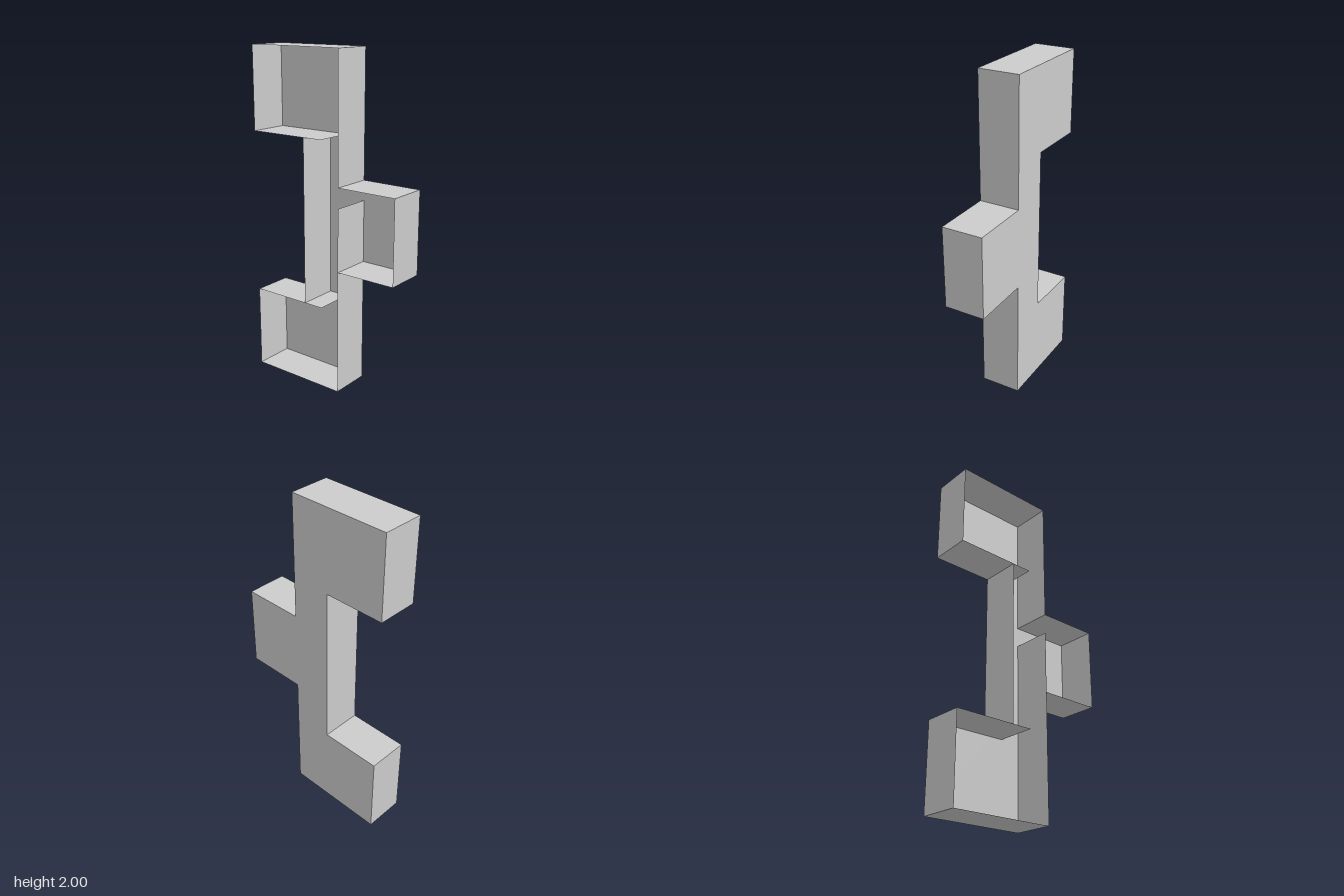
import * as THREE from 'three';

const HALF = 0.123; // half depth of the open-fronted tray
const mat = new THREE.MeshStandardMaterial({ color: 0xcccccc, side: THREE.DoubleSide, flatShading: true });

export function createModel() {
  const group = new THREE.Group();
  group.name = 'openTray';

  // Flat back panel: spine with two pockets on one side and one on the other
  const outline = [
    [-0.5, 0], [0.122, 0], [0.122, 0.755], [0.497, 0.755], [0.497, 1.25], [0.122, 1.25],
    [0.122, 2], [-0.5, 2], [-0.5, 1.503], [-0.125, 1.503], [-0.125, 0.507], [-0.5, 0.507],
  ].map(([x, y]) => new THREE.Vector2(x, y));
  const back = new THREE.Mesh(new THREE.ShapeGeometry(new THREE.Shape(outline)), mat);
  back.name = 'backPanel';
  back.position.z = -HALF;
  group.add(back);

  // Thin upright or level wall from one outline point to another, spanning the depth
  function wall(name, x0, y0, x1, y1) {
    const length = Math.hypot(x1 - x0, y1 - y0);
    const geo = new THREE.PlaneGeometry(length, HALF * 2).rotateX(-Math.PI / 2);
    const mesh = new THREE.Mesh(geo, mat);
    mesh.name = name;
    mesh.position.set((x0 + x1) / 2, (y0 + y1) / 2, 0);
    mesh.rotation.z = Math.atan2(y1 - y0, x1 - x0);
    group.add(mesh);
  }

  // Lower pocket; its ceiling runs on into the spine
  wall('lowerPocketFloor', 0.122, 0, -0.5, 0);
  wall('lowerPocketSide', -0.5, 0, -0.5, 0.507);
  wall('lowerPocketCeiling', -0.5, 0.507, 0, 0.507);

  // Upper pocket; its floor runs on into the spine
  wall('upperPocketCeiling', -0.5, 2, 0.122, 2);
  wall('upperPocketSide', -0.5, 1.503, -0.5, 2);
  wall('upperPocketFloor', 0, 1.503, -0.5, 1.503);

  // Spine sides; the lower one runs on behind the middle pocket
  wall('spineRightSide', -0.125, 0.507, -0.125, 1.503);
  wall('spineLowerLeftSide', 0.122, 1.13, 0.122, 0);
  wall('spineUpperLeftSide', 0.122, 2, 0.122, 1.25);

  // Middle pocket
  wall('middlePocketFloor', 0.497, 0.755, 0.122, 0.755);
  wall('middlePocketSide', 0.497, 1.25, 0.497, 0.755);
  wall('middlePocketCeiling', 0.122, 1.25, 0.497, 1.25);

  return group;
}
